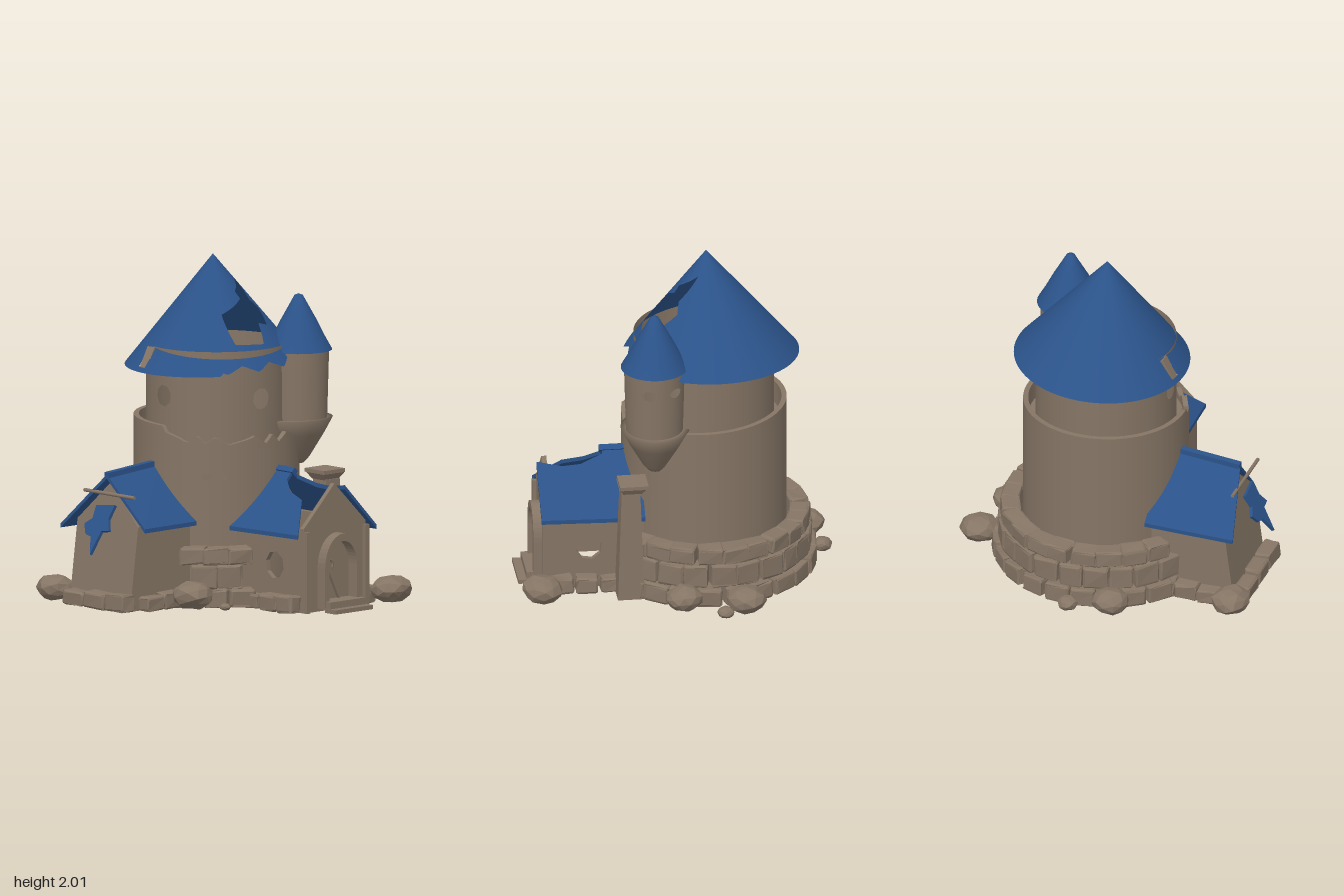
import * as THREE from 'three';
import { RoundedBoxGeometry } from 'three/addons/geometries/RoundedBoxGeometry.js';

const stone = new THREE.MeshStandardMaterial({ color: 0x857565, side: THREE.DoubleSide });
stone.name = 'weathered stone';
const blue = new THREE.MeshStandardMaterial({ color: 0x2b538a, side: THREE.DoubleSide });
blue.name = 'blue roof';

const CX = 0.09, CZ = -0.19; // tower axis
const hash = (n) => { const s = Math.sin(n * 127.1 + 3.7) * 43758.5453; return s - Math.floor(s); };

export function createModel() {
  const root = new THREE.Group();
  root.name = 'ruinedTower';

  const add = (name, geo, mat = stone, x = 0, y = 0, z = 0) => {
    const m = new THREE.Mesh(geo, mat);
    m.name = name;
    m.position.set(x, y, z);
    root.add(m);
    return m;
  };
  const box = (name, w, h, d, x, y, z, mat) => add(name, new THREE.BoxGeometry(w, h, d), mat, x, y, z);
  const shapeOf = (pts) => new THREE.Shape(pts.map((p) => new THREE.Vector2(p[0], p[1])));
  const extrude = (shape, depth) => new THREE.ExtrudeGeometry(shape, { depth, bevelEnabled: false, curveSegments: 10 });
  const warp = (geo, rule) => {
    const p = geo.attributes.position, v = new THREE.Vector3();
    for (let i = 0; i < p.count; i++) {
      rule(v.fromBufferAttribute(p, i));
      p.setXYZ(i, v.x, v.y, v.z);
    }
    geo.computeVertexNormals();
    return geo;
  };
  // faceted, irregular rock surface
  const rough = (geo, amount, seed) => warp(geo.index ? geo.toNonIndexed() : geo, (v) => {
    const k = Math.round(v.x * 500) * 3 + Math.round(v.y * 500) * 7 + Math.round(v.z * 500) * 13 + seed * 17;
    v.x += (hash(k) - 0.5) * amount;
    v.y += (hash(k + 1) - 0.5) * amount;
    v.z += (hash(k + 2) - 0.5) * amount;
  });
  const inside = (poly, x, y) => {
    let c = false;
    for (let i = 0, j = poly.length - 1; i < poly.length; j = i++) {
      const [xi, yi] = poly[i], [xj, yj] = poly[j];
      if ((yi > y) !== (yj > y) && x < ((xj - xi) * (y - yi)) / (yj - yi) + xi) c = !c;
    }
    return c;
  };
  // nearest outline point within reach, so that openings get clean edges
  const snap = (polys, x, y) => {
    let best = 0.72, out = [x, y];
    for (const poly of polys) poly.forEach(([x0, y0], i) => {
      const [x1, y1] = poly[(i + 1) % poly.length], dx = x1 - x0, dy = y1 - y0;
      const t = Math.min(1, Math.max(0, ((x - x0) * dx + (y - y0) * dy) / (dx * dx + dy * dy)));
      const q = [x0 + dx * t, y0 + dy * t], d = Math.hypot(q[0] - x, q[1] - y);
      if (d < best) { best = d; out = q; }
    });
    return out;
  };
  // round wall; at(angle, v) gives [radius, height]; holes are outlines in (angle, v)
  const shell = (name, mat, cx, cz, nu, nv, at, holes = []) => {
    const pos = [], cells = [], idx = [];
    const polys = holes.map((h) => h.map(([a, v]) => [(a / (2 * Math.PI) + 0.5) * nu, v * nv]));
    for (let j = 0; j <= nv; j++) for (let i = 0; i < nu; i++) {
      const c = snap(polys, i, j), a = (c[0] / nu - 0.5) * Math.PI * 2, [r, y] = at(a, c[1] / nv);
      cells.push(c);
      pos.push(cx + r * Math.sin(a), y, cz + r * Math.cos(a));
    }
    const tri = (...t) => {
      const u = t.reduce((s, k) => s + cells[k][0], 0) / 3, v = t.reduce((s, k) => s + cells[k][1], 0) / 3;
      if (!polys.some((p) => inside(p, u, v))) idx.push(...t);
    };
    for (let j = 0; j < nv; j++) for (let i = 0; i < nu; i++) {
      const a = j * nu + i, b = j * nu + ((i + 1) % nu);
      tri(a, b, b + nu);
      tri(a, b + nu, a + nu);
    }
    const g = new THREE.BufferGeometry();
    g.setAttribute('position', new THREE.Float32BufferAttribute(pos, 3));
    g.setIndex(idx);
    g.computeVertexNormals();
    return add(name, g, mat);
  };
  const ring = (a, v, ra, rv, n = 8) => Array.from({ length: n }, (_, i) => {
    const t = ((i + 0.3) / n) * Math.PI * 2;
    return [a + ra * Math.cos(t), v + rv * Math.sin(t)];
  });

  // main tower: broken parapet, floor, upper storey with windows
  const rim = (a) => {
    const front = Math.cos(a + 0.35) > 0.45;
    const tooth = Math.abs(((a * 2.9 + 0.25 * Math.sin(a * 7) + 9) % 1) - 0.5) * 0.1;
    return 1.04 - 0.02 * Math.cos(a) + (front ? tooth - 0.085 : 0);
  };
  shell('lowerTower', stone, CX, CZ, 120, 60, (a, v) => [0.485, rim(a) * v], [ring(-0.776, 0.785, 0.16, 0.025, 7)]);
  shell('parapetInside', stone, CX, CZ, 120, 2, (a, v) => [0.455, 0.9 + (rim(a) - 0.9) * v]);
  shell('parapetTop', stone, CX, CZ, 120, 1, (a, v) => [0.485 - 0.03 * v, rim(a)]);
  add('towerFloor', new THREE.CylinderGeometry(0.47, 0.47, 0.02, 48), stone, CX, 0.91, CZ);
  shell('upperTower', stone, CX, CZ, 120, 36, (a, v) => [0.412, 0.91 + 0.57 * v],
    [ring(-0.06, 0.49, 0.15, 0.114), ring(-1.6, 0.51, 0.15, 0.114)]);

  // main conical roof with a torn hole, a small gap and a ragged front edge
  const tear = [[-0.05, 1.68], [-0.06, 1.52], [0.125, 1.5], [0.165, 1.61], [0.24, 1.585],
    [0.26, 1.67], [0.2, 1.73], [0.165, 1.87], [0.1, 1.79], [0.115, 1.75]].map(([x, y]) => {
    const t = (y - 1.36) / 0.64;
    return [Math.asin((x - 0.1 + 0.025 * t) / (0.518 * (1 - t))), t];
  });
  const gap = [[-1.81, 0.04], [-1.69, 0.04], [-1.7, 0.19], [-1.84, 0.17]];
  const roof = shell('mainRoof', blue, 0.1, -0.23, 160, 60, (a, v) => {
    const ragged = Math.cos(a) > 0.8 ? 0.01 + Math.abs(((a * 2.6 + 9) % 1) - 0.5) * 0.13 : 0;
    const t = v + ragged * Math.max(0, 1 - v * 8);
    return [0.518 * (1 - t), 1.36 + 0.025 * Math.sin(a) * (1 - t) + 0.64 * t];
  }, [tear, gap]);
  warp(roof.geometry, (v) => { // apex leans a little
    const t = (v.y - 1.36) / 0.64;
    v.x -= 0.025 * t;
    v.z += 0.025 * t;
  });
  box('roofRafter', 0.05, 0.15, 0.06, -0.335, 1.4, -0.31).rotation.z = -0.5;

  // corner turret with corbel and pointed roof
  const TX = 0.435, TZ = 0.145;
  const lathe = (name, mat, pts) =>
    add(name, new THREE.LatheGeometry(pts.map((p) => new THREE.Vector2(p[0], p[1])), 40), mat, TX, 0, TZ);
  const corbel = lathe('turretCorbel', stone, [[0.001, 0.758], [0.045, 0.765], [0.075, 0.8], [0.155, 0.94], [0.203, 1.035], [0.16, 1.035]]);
  corbel.position.set(0.418, 0, 0.138);
  corbel.scale.x = 1.13;
  shell('turretWall', stone, TX, TZ, 72, 30, (a, v) => [0.167 + 0.012 * v, 1.03 + 0.43 * v],
    [ring(1.28, 0.675, 0.29, 0.075, 7), ring(2.25, 0.675, 0.26, 0.07, 7)]);
  lathe('turretRoof', blue, [[0.197, 1.435], [0.155, 1.51], [0.105, 1.61], [0.055, 1.7], [0.025, 1.755], [0.001, 1.765]]);

  // sloping roof sheets, drawn in plan (x, z) and lifted to the slope
  const roofSheet = (name, pts, lift) => add(name, warp(extrude(shapeOf(pts), 0.025).rotateX(Math.PI / 2),
    (v) => { v.y += lift(v); }), blue);

  // front entrance house
  const HX = 0.135;
  const gable = shapeOf([[-0.11, 0], [0.385, 0], [0.385, 0.5], [HX, 0.745], [-0.11, 0.5]]);
  const arch = (P, r, y0, top) => {
    const p = new P();
    p.moveTo(0.145 - r, y0);
    p.lineTo(0.145 - r, top - r * 1.35);
    p.absellipse(0.145, top - r * 1.35, r, r * 1.35, Math.PI, 0, true);
    p.lineTo(0.145 + r, y0);
    p.closePath();
    return p;
  };
  gable.holes.push(arch(THREE.Path, 0.11, 0.03, 0.41));
  add('houseFront', extrude(gable, 0.03), stone, 0, 0, 0.745);
  for (const x of [-0.11, 0.355]) {
    const wall = shapeOf([[-0.775, 0], [-0.2, 0], [-0.2, 0.5], [-0.775, 0.5]]);
    wall.holes.push(new THREE.Path(ring(-0.525, 0.26, 0.078, 0.083).map((p) => new THREE.Vector2(p[0], p[1]))));
    add('houseSideWall', extrude(wall, 0.03).rotateY(Math.PI / 2), stone, x, 0, 0);
    box('cornerPost', 0.03, 0.48, 0.03, x < 0 ? -0.095 : 0.375, 0.24, 0.785);
  }
  const houseLift = (v) => 0.785 - 1.03 * Math.abs(v.x - HX);
  roofSheet('houseRoofRight', [[HX, 0.2], [-0.18, 0.2], [-0.17, 0.79], [0, 0.64], [0.03, 0.51], [0.085, 0.42], [HX, 0.42]], houseLift);
  roofSheet('houseRoofLeft', [[HX, 0.2], [0.45, 0.2], [0.44, 0.81], [0.185, 0.81], [0.21, 0.66], [0.205, 0.55], [0.165, 0.42], [HX, 0.42]], houseLift);
  box('houseRidge', 0.035, 0.035, 0.24, HX, 0.775, 0.315, blue).rotation.z = Math.PI / 4;

  // arched doorway, broken door and steps
  const surround = arch(THREE.Shape, 0.145, 0.02, 0.455);
  surround.holes.push(arch(THREE.Path, 0.11, 0.03, 0.41));
  add('doorSurround', extrude(surround, 0.065), stone, 0, 0, 0.775);
  add('door', extrude(arch(THREE.Shape, 0.11, 0.03, 0.41), 0.015), stone, 0, 0, 0.75);
  box('brokenPlank', 0.03, 0.24, 0.02, 0.12, 0.18, 0.78).rotation.z = 0.45;
  add('doorRing', new THREE.TorusGeometry(0.03, 0.009, 6, 14), stone, 0.085, 0.27, 0.78);
  box('upperStep', 0.28, 0.05, 0.12, 0.145, 0.04, 0.82);
  box('lowerStep', 0.3, 0.025, 0.09, 0.15, 0.0125, 0.885);

  // side annex with a leaning end wall
  const lean = (g) => warp(g, (v) => { if (v.x < -0.6) v.x += 0.13 * v.y; });
  for (const z of [-0.46, 0.02]) {
    add('annexWall', lean(new THREE.BoxGeometry(0.51, 0.5, 0.04).translate(-0.555, 0.25, z)));
  }
  const annexEnd = shapeOf([[-0.04, 0], [0.48, 0], [0.48, 0.49], [0.22, 0.735], [-0.04, 0.49]]);
  add('annexGable', lean(extrude(annexEnd, 0.04).rotateY(Math.PI / 2).translate(-0.815, 0, 0)));
  const annexLift = (v) => {
    const d = Math.abs(v.z + 0.22);
    return 0.78 - d + (v.x + 0.75) * 0.08 * (1 - d / 0.32);
  };
  roofSheet('annexRoofFront', [[-0.76, -0.22], [-0.73, 0.075], [-0.3, 0.075], [-0.34, -0.22]], annexLift);
  roofSheet('annexRoofBack', [[-0.76, -0.22], [-0.3, -0.22], [-0.28, -0.54], [-0.83, -0.54]], annexLift);
  box('annexRidge', 0.42, 0.035, 0.04, -0.55, 0.79, -0.22, blue).rotation.z = 0.08;

  // pole and ragged banner against the annex end
  const pole = add('bannerPole', new THREE.CylinderGeometry(0.011, 0.011, 0.43, 8), stone, -0.775, 0.67, -0.18);
  pole.rotation.x = Math.PI / 2;
  const cloth = shapeOf([[-0.07, 0.02], [0.08, 0.04], [0.07, -0.05], [0.11, -0.12], [0.05, -0.13],
    [0.03, -0.28], [-0.02, -0.17], [-0.07, -0.16], [-0.11, -0.1], [-0.06, -0.06]]);
  add('banner', extrude(cloth, 0.02).rotateY(-Math.PI / 2).rotateZ(-0.5), blue, -0.8, 0.57, -0.19);

  // free-standing square pillar
  const pillar = (name, rt, rb, h, x, y, z) => {
    const g = new THREE.CylinderGeometry(rt * 1.414, rb * 1.414, h, 4).rotateY(Math.PI / 4).toNonIndexed();
    g.computeVertexNormals();
    add(name, g, stone, x, y, z);
  };
  pillar('pillarShaft', 0.055, 0.079, 0.68, 0.513, 0.34, 0.3);
  pillar('pillarFlare', 0.08, 0.055, 0.04, 0.513, 0.695, 0.29);
  pillar('pillarCap', 0.084, 0.084, 0.022, 0.515, 0.725, 0.283);

  // rough stone courses around the tower foot
  const block = (name, w, h, d, x, y, z, turn, seed) => {
    const m = add(name, rough(new RoundedBoxGeometry(w, h, d, 1, 0.014), 0.009, seed), stone, x, y, z);
    m.rotation.set((hash(seed) - 0.5) * 0.12, turn + (hash(seed + 5) - 0.5) * 0.12, (hash(seed + 9) - 0.5) * 0.1);
  };
  [[0.605, 0.11, 0.055], [0.575, 0.14, 0.18], [0.56, 0.1, 0.298]].forEach(([r, h, y], row) => {
    const n = 25;
    for (let i = 0; i < n; i++) {
      const a = ((i + row * 0.5 + (hash(i + row * 40) - 0.5) * 0.15) / n) * Math.PI * 2;
      const x = CX + r * Math.sin(a), z = CZ + r * Math.cos(a);
      if ((x < -0.37 && z > -0.5 && z < 0.11) || (z > 0.15 && x > -0.13 && x < 0.4)) continue;
      block('footStone', 0.14 + 0.02 * hash(i * 3 + row), h, 0.115, x, y, z, a, i + row * 31 + 1);
    }
  });

  // low stones along the house and annex walls
  for (let i = 0; i < 3; i++) {
    const z = 0.4 + i * 0.145, h = 0.08 + 0.03 * hash(i);
    block('houseFootStone', 0.09, h, 0.13, -0.155, h / 2, z, 0, 100 + i);
    block('houseFootStone', 0.09, h, 0.13, 0.44, h / 2, z, 0, 110 + i);
    block('annexFootStone', 0.14, h, 0.09, -0.68 + i * 0.14, h / 2, 0.08, 0, 120 + i);
    block('annexFootStone', 0.14, h, 0.09, -0.68 + i * 0.14, h / 2, -0.52, 0, 130 + i);
    block('annexFootStone', 0.1, h, 0.17, -0.85, h / 2, -0.37 + i * 0.18, 0, 140 + i);
  }

  // scattered boulders: x, z, radius
  [[-0.17, -0.83, 0.11], [0.07, -0.89, 0.06], [-0.835, -0.58, 0.115], [0.82, -0.35, 0.115], [0.89, -0.22, 0.05],
    [0.755, 0.01, 0.11], [-0.47, 0.21, 0.125], [-0.37, 0.38, 0.032], [0.55, 0.82, 0.122]].forEach(([x, z, r], i) => {
    const g = rough(new THREE.IcosahedronGeometry(r, 1), r * 0.15, 200 + i);
    const m = add('boulder', g, stone, x, r * 0.66, z);
    m.scale.y = 0.68;
    m.rotation.y = i * 1.3;
  });
  return root;
}
